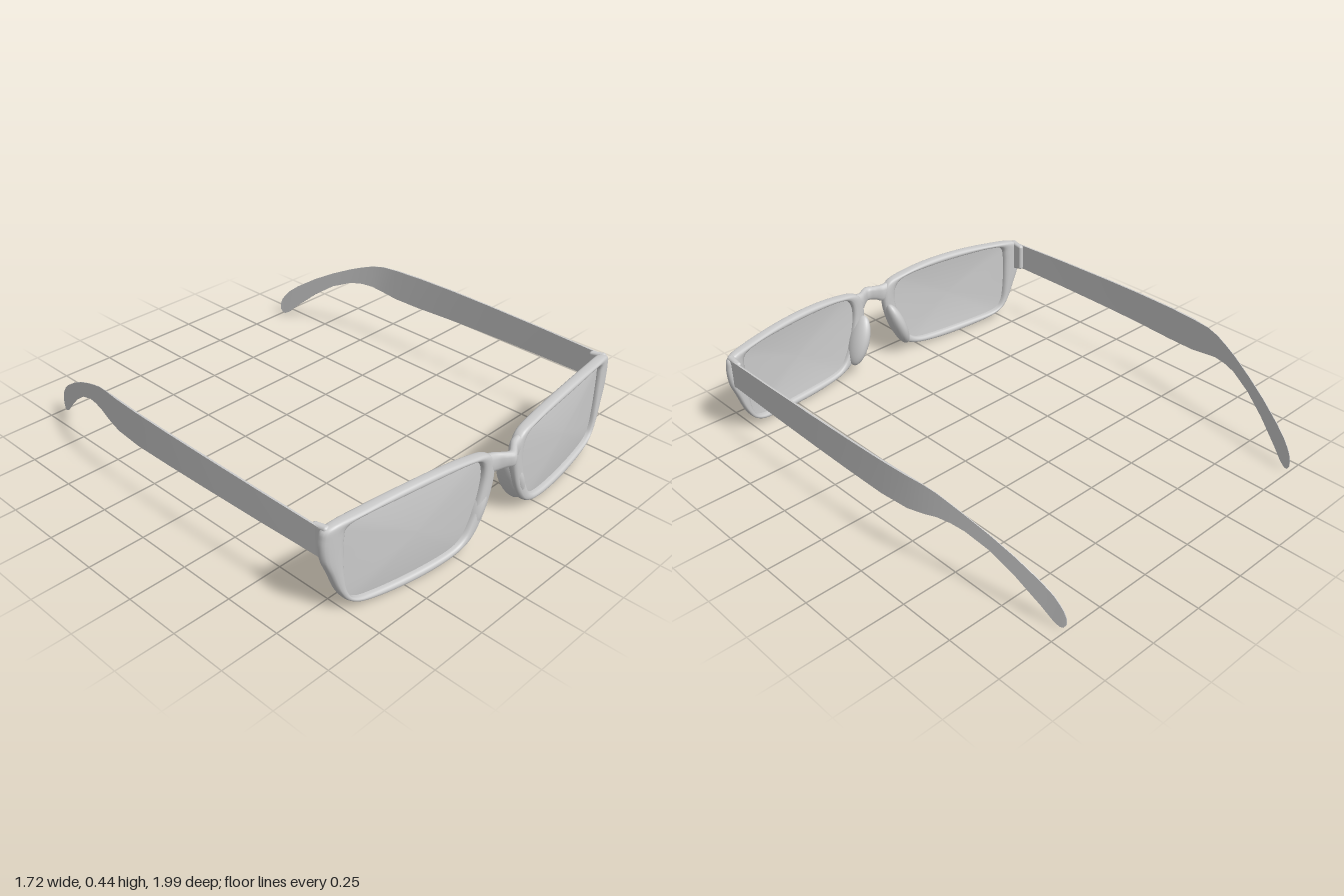
import * as THREE from 'three';
import { toCreasedNormals } from 'three/addons/utils/BufferGeometryUtils.js';
import { RoundedBoxGeometry } from 'three/addons/geometries/RoundedBoxGeometry.js';

const grey = new THREE.MeshStandardMaterial({ color: 0xcccccc });
const thin = new THREE.MeshStandardMaterial({ color: 0xcccccc, side: THREE.DoubleSide });

// Skin a list of equal-length rings; either join last to first or cap both ends.
function loft(rings, { closed = false, caps = false } = {}) {
  const n = rings[0].length, m = rings.length, index = [];
  const points = rings.flat();
  for (let i = 0; i < (closed ? m : m - 1); i++) {
    for (let j = 0; j < n; j++) {
      const i2 = (i + 1) % m, j2 = (j + 1) % n;
      const a = i * n + j, b = i * n + j2, c = i2 * n + j2, d = i2 * n + j;
      index.push(a, b, d, b, c, d);
    }
  }
  if (caps) {
    const e = (m - 1) * n;
    for (let j = 1; j < n - 1; j++) index.push(0, j + 1, j, e, e + j, e + j + 1);
  }
  const geo = new THREE.BufferGeometry();
  geo.setAttribute('position', new THREE.Float32BufferAttribute(points.flat(), 3));
  geo.setIndex(index);
  geo.computeVertexNormals();
  return geo;
}

// Mirror a geometry across x = 0, keeping the faces outward.
function mirrored(source) {
  const geo = source.index ? source.toNonIndexed() : source.clone();
  for (const attr of Object.values(geo.attributes)) {
    const k = attr.itemSize, arr = attr.array;
    for (let t = 0; t < arr.length; t += 3 * k) {
      for (let c = 0; c < k; c++) {
        const keep = arr[t + k + c];
        arr[t + k + c] = arr[t + 2 * k + c];
        arr[t + 2 * k + c] = keep;
      }
    }
    if (k === 3) for (let t = 0; t < arr.length; t += 3) arr[t] *= -1;
  }
  return geo;
}

// Wrap of the front: depth of the frame's middle at a given x.
const wrap = x => 0.927 - 0.03 * Math.abs(x) - 0.115 * x * x;
const power = (v, p) => Math.sign(v) * Math.abs(v) ** p;

// Paired points round the left rim: outer x, y, then lens opening x, y.
const RIM = [
  [0.09, 0.396, 0.14, 0.378], [0.20, 0.425, 0.20, 0.405], [0.35, 0.44, 0.35, 0.412],
  [0.52, 0.44, 0.52, 0.412], [0.68, 0.428, 0.68, 0.408], [0.83, 0.408, 0.752, 0.39],
  [0.857, 0.36, 0.768, 0.34], [0.853, 0.28, 0.769, 0.25], [0.825, 0.205, 0.765, 0.17],
  [0.79, 0.115, 0.753, 0.10], [0.745, 0.055, 0.72, 0.06], [0.66, 0.022, 0.64, 0.045],
  [0.45, 0.004, 0.45, 0.037], [0.28, 0.014, 0.28, 0.042], [0.18, 0.045, 0.213, 0.067],
  [0.12, 0.11, 0.173, 0.125], [0.08, 0.20, 0.14, 0.21], [0.06, 0.31, 0.122, 0.31],
];
const curve = pts => new THREE.CatmullRomCurve3(pts, true, 'catmullrom', 0.5);
const outer = curve(RIM.map(p => new THREE.Vector3(p[0], p[1], 0)));
const inner = curve(RIM.map(p => new THREE.Vector3(p[2], p[3], 0)));
const STEPS = 108;

function rimGeometry() {
  const rings = [];
  for (let i = 0; i < STEPS; i++) {
    const o = outer.getPoint(i / STEPS), q = inner.getPoint(i / STEPS), ring = [];
    for (let j = 0; j < 16; j++) {
      const a = (j / 16) * Math.PI * 2;
      const p = q.clone().lerp(o, 0.5 + 0.5 * power(Math.cos(a), 0.75));
      ring.push([p.x, p.y, wrap(p.x) + 0.024 * power(Math.sin(a), 0.75)]);
    }
    rings.push(ring);
  }
  return loft(rings, { closed: true });
}

// Gently domed lens, made of shrinking copies of the opening.
function lensGeometry() {
  const rings = [];
  for (const s of [1.02, 0.9, 0.7, 0.45, 0.2, 0.002]) {
    const ring = [];
    for (let i = 0; i < STEPS; i++) {
      const p = inner.getPoint(i / STEPS);
      const x = 0.45 + (p.x - 0.45) * s, y = 0.225 + (p.y - 0.225) * s;
      ring.push([x, y, wrap(x) + 0.012 * (1 - s * s)]);
    }
    rings.push(ring);
  }
  return loft(rings);
}

function bridgeGeometry() {
  // x, top, bottom, depth
  const half = [[0.03, 0.385, 0.319, 0.952], [0.06, 0.389, 0.308, 0.932],
    [0.095, 0.396, 0.315, 0.925], [0.125, 0.402, 0.365, 0.922]];
  const sections = [...half.map(([x, ...r]) => [-x, ...r]).reverse(), [0, 0.384, 0.32, 0.968], ...half];
  const top = new THREE.CatmullRomCurve3(sections.map(s => new THREE.Vector3(s[0], s[1], s[3])), false, 'catmullrom');
  const low = new THREE.CatmullRomCurve3(sections.map(s => new THREE.Vector3(s[0], s[2], s[3])), false, 'catmullrom');
  const rings = [];
  for (let i = 0; i <= 40; i++) {
    const t = top.getPoint(i / 40), b = low.getPoint(i / 40), ring = [];
    for (let j = 0; j < 16; j++) {
      const a = (j / 16) * Math.PI * 2;
      const p = b.clone().lerp(t, 0.5 + 0.5 * power(Math.cos(a), 0.75));
      ring.push([p.x, p.y, p.z + 0.021 * power(Math.sin(a), 0.75)]);
    }
    rings.push(ring);
  }
  return loft(rings, { caps: true });
}

// Thin arm that turns inward and hooks down behind the ear.
function templeGeometry() {
  // z, x, top, bottom
  const sections = [
    [0.80, 0.838, 0.40, 0.275], [0.50, 0.844, 0.407, 0.272], [0.20, 0.846, 0.412, 0.268],
    [0, 0.845, 0.414, 0.264], [-0.20, 0.84, 0.414, 0.258], [-0.34, 0.831, 0.412, 0.262],
    [-0.42, 0.822, 0.408, 0.275], [-0.48, 0.811, 0.397, 0.288], [-0.54, 0.798, 0.376, 0.288],
    [-0.60, 0.784, 0.352, 0.278], [-0.70, 0.757, 0.305, 0.234], [-0.80, 0.730, 0.25, 0.163],
    [-0.90, 0.702, 0.184, 0.075], [-0.95, 0.688, 0.143, 0.026], [-0.975, 0.682, 0.113, 0.012],
    [-0.99, 0.678, 0.09, 0.015], [-1, 0.675, 0.062, 0.032],
  ];
  const rings = sections.map(([z, x, top, bottom]) => {
    const t = z > -0.35 ? 0.004 : 0.0015;
    return [[x - t, top, z], [x + t, top, z], [x + t, bottom, z], [x - t, bottom, z]];
  });
  return toCreasedNormals(loft(rings, { caps: true }), 0.6);
}

// Nose pad: a flattened blob leaning along the inner rim.
function nosePadGeometry() {
  const geo = new THREE.SphereGeometry(1, 24, 16);
  geo.scale(0.036, 0.125, 0.058);
  geo.rotateY(0.15);
  geo.rotateZ(0.36);
  geo.translate(0.118, 0.175, 0.893);
  return geo;
}

// Hinge block behind the outer corner of the rim.
function hingeGeometry() {
  const geo = new RoundedBoxGeometry(0.03, 0.15, 0.075, 3, 0.012);
  const pos = geo.attributes.position;
  for (let i = 0; i < pos.count; i++) {
    const taper = pos.getZ(i) < 0 ? 0.85 : 1;
    pos.setXY(i, pos.getX(i) * taper, pos.getY(i) * taper);
  }
  geo.translate(0.829, 0.337, 0.794);
  return geo;
}

export function createModel() {
  const model = new THREE.Group();
  model.name = 'eyeglasses';
  const add = (name, geo, material = grey) => {
    const mesh = new THREE.Mesh(geo, material);
    mesh.name = name;
    model.add(mesh);
  };
  const addPair = (name, geo, material) => {
    add('left' + name, geo, material);
    add('right' + name, mirrored(geo), material);
  };
  addPair('Rim', rimGeometry());
  addPair('Lens', lensGeometry(), thin);
  addPair('NosePad', nosePadGeometry());
  addPair('Hinge', hingeGeometry());
  addPair('Temple', templeGeometry(), thin);
  add('bridge', bridgeGeometry());
  return model;
}
